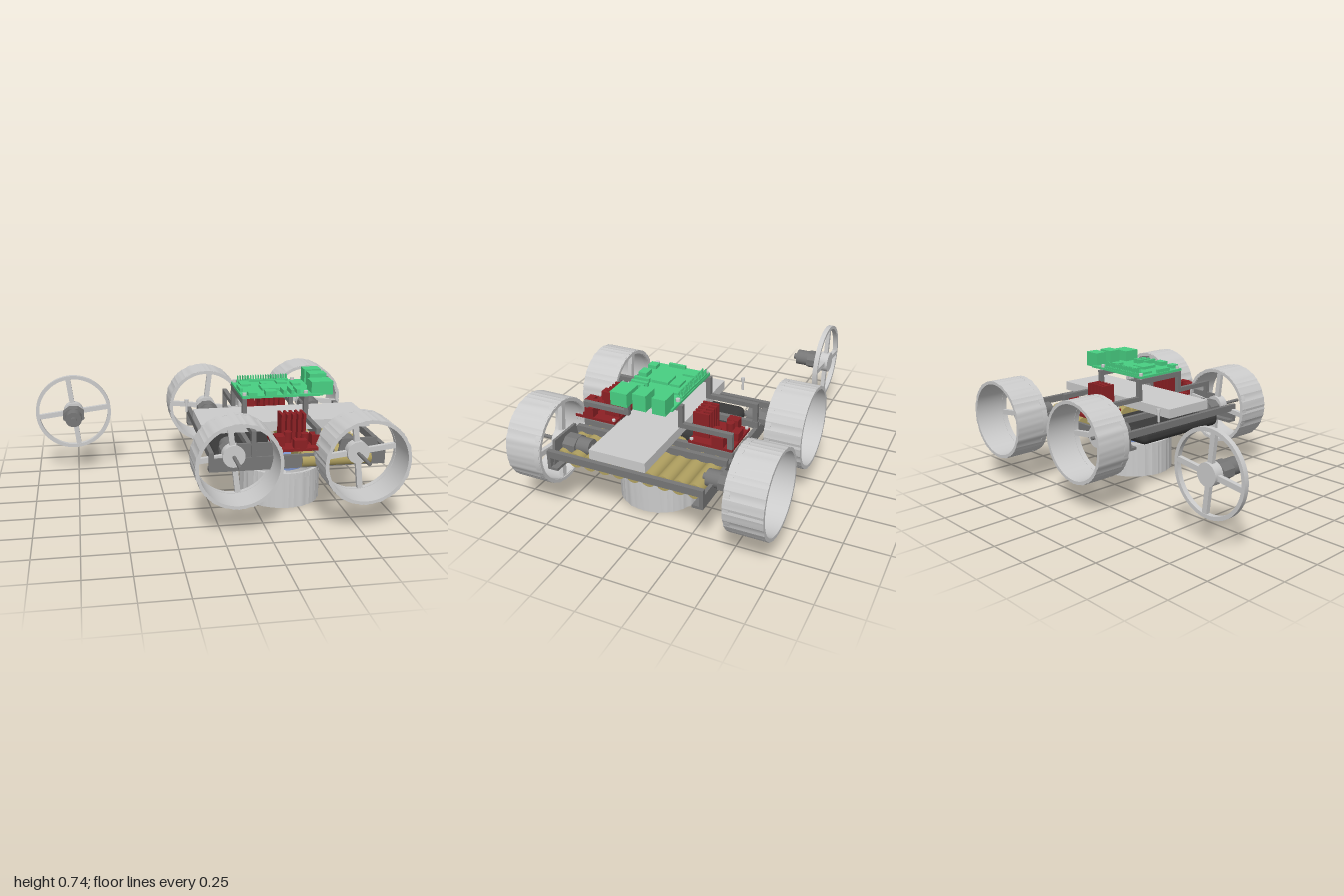
import * as THREE from 'three';
import { toCreasedNormals } from 'three/addons/utils/BufferGeometryUtils.js';
import { RoundedBoxGeometry } from 'three/addons/geometries/RoundedBoxGeometry.js';

const paint = (color) => new THREE.MeshStandardMaterial({ color });
const GREY = paint(0xcccccc), FRAME = paint(0x777777), BLACK = paint(0x3a3a3a);
const GREEN = paint(0x48cf82), RED = paint(0x8c2024), BRASS = paint(0xb0a060), BLUE = paint(0x8098d0);

function add(parent, name, geo, mat, x = 0, y = 0, z = 0) {
  const mesh = new THREE.Mesh(geo, mat);
  mesh.name = name;
  mesh.position.set(x, y, z);
  parent.add(mesh);
  return mesh;
}

// Box given by its limits on each axis
function box(parent, name, mat, [x0, x1], [y0, y1], [z0, z1]) {
  return add(parent, name, new THREE.BoxGeometry(x1 - x0, y1 - y0, z1 - z0), mat,
    (x0 + x1) / 2, (y0 + y1) / 2, (z0 + z1) / 2);
}

function group(parent, name, x = 0, y = 0, z = 0) {
  const g = new THREE.Group();
  g.name = name;
  g.position.set(x, y, z);
  parent.add(g);
  return g;
}

// Cylinder lying along z
function rodZ(parent, name, mat, r, len, x, y, z, sides = 24) {
  const geo = new THREE.CylinderGeometry(r, r, len, sides).rotateX(Math.PI / 2);
  return add(parent, name, geo, mat, x, y, z);
}

// Ring with rectangular section, axis along z
function ring(ro, ri, width, rough = 0) {
  const h = width / 2;
  const pts = [[ro, -h], [ro, h], [ri, h], [ri, -h], [ro, -h]].map(p => new THREE.Vector2(...p));
  const geo = new THREE.LatheGeometry(pts, 96);
  const pos = geo.attributes.position;
  for (let i = 0; i < pos.count; i++) {
    const x = pos.getX(i), z = pos.getZ(i);
    if (Math.hypot(x, z) < (ro + ri) / 2) continue;
    const a = Math.round(Math.atan2(z, x) * 96 / (2 * Math.PI));
    const k = 1 - rough * (0.5 + 0.5 * Math.sin(a * a * 1.7));
    pos.setX(i, x * k);
    pos.setZ(i, z * k);
  }
  geo.rotateX(Math.PI / 2);
  return toCreasedNormals(geo, 0.35);
}

// Spoked disc in the xy plane, centred on its hub
function spokedDisc(parent, mat = GREY) {
  const g = group(parent, 'spokedRim');
  add(g, 'rim', ring(0.235, 0.214, 0.028), mat);
  rodZ(g, 'hub', mat, 0.062, 0.055, 0, 0, 0, 32);
  for (let i = 0; i < 4; i++) {
    const spoke = group(g, 'spoke');
    spoke.rotation.z = i * Math.PI / 2 + 0.12;
    box(spoke, 'spokeBar', mat, [0.03, 0.222], [-0.015, 0.015], [-0.012, 0.012]);
  }
  return g;
}

// Tyre whose spoked disc sits at its -z end
function wheel(parent, name, x, y, z) {
  const g = group(parent, name, x, y, z);
  add(g, 'tyre', ring(0.237, 0.216, 0.21, 0.018), GREY);
  spokedDisc(g).position.z = -0.085;
  return g;
}

// Gear motor with its shaft toward +z
function motor(parent, x, y, z, dir, shaft = 0.1) {
  const g = group(parent, 'motor', x, y, z);
  if (dir < 0) g.rotation.y = Math.PI;
  const body = new THREE.CylinderGeometry(0.065, 0.065, 0.075, 8).rotateY(Math.PI / 8).rotateX(Math.PI / 2);
  add(g, 'gearbox', toCreasedNormals(body, 0.3), FRAME, 0, 0, 0.028).scale.y = 0.78;
  rodZ(g, 'can', FRAME, 0.046, 0.08, 0, 0, -0.045);
  rodZ(g, 'endCap', FRAME, 0.018, 0.025, 0, 0, -0.095);
  rodZ(g, 'shaft', FRAME, 0.01, shaft, 0, 0, 0.065 + shaft / 2, 12);
  return g;
}

// Stepped strap over the power pack, drawn in z-y and extruded along x
function strap(parent, x) {
  const outer = [[0.5, 0.4], [0.5, 0.535], [0.242, 0.535], [0.242, 0.64], [-0.108, 0.64],
    [-0.108, 0.535], [-0.39, 0.535], [-0.39, 0.4]];
  const inner = [[-0.362, 0.4], [-0.362, 0.508], [-0.082, 0.508], [-0.082, 0.608], [0.216, 0.608],
    [0.216, 0.508], [0.472, 0.508], [0.472, 0.4]];
  const shape = new THREE.Shape([...outer, ...inner].map(p => new THREE.Vector2(...p)));
  const geo = new THREE.ExtrudeGeometry(shape, { depth: 0.026, bevelEnabled: false });
  geo.rotateY(-Math.PI / 2).scale(1, 1, 1);
  add(parent, 'strap', geo, FRAME, x + 0.013, 0, 0);
}

// Motor driver board, local origin at the middle of the board
function driverBoard(parent, z, flip) {
  const g = group(parent, 'driverBoard', 0.433, 0.43, z);
  if (flip) g.rotation.y = Math.PI;
  box(g, 'board', RED, [-0.126, 0.126], [0, 0.015], [-0.125, 0.125]);
  box(g, 'heatSinkBase', RED, [-0.07, 0.07], [0.015, 0.155], [-0.09, -0.07]);
  for (let i = 0; i < 5; i++) {
    const x = -0.07 + i * 0.031;
    box(g, 'heatSinkFin', RED, [x, x + 0.014], [0.015, 0.157], [-0.122, -0.03]);
  }
  for (const s of [-1, 1]) {
    box(g, 'sideTerminal', RED, [s * 0.1 - 0.026, s * 0.1 + 0.026], [0.015, 0.07], [0.01, 0.075]);
    add(g, 'capacitor', new THREE.CylinderGeometry(0.022, 0.022, 0.06, 20), RED, s * 0.042, 0.045, 0.025 + s * 0.02);
    for (const t of [-1, 1])
      add(g, 'standoff', new THREE.CylinderGeometry(0.01, 0.01, 0.05, 12), GREY, s * 0.112, 0, t * 0.112);
  }
  box(g, 'frontTerminal', RED, [-0.035, 0.035], [0.015, 0.06], [0.08, 0.122]);
}

function controlBoard(parent) {
  const g = group(parent, 'controlBoard');
  box(g, 'board', GREEN, [0.175, 0.64], [0.643, 0.657], [-0.093, 0.245]);
  // Tall sockets along the +x edge
  box(g, 'networkSocket', GREEN, [0.575, 0.7], [0.645, 0.722], [0.138, 0.235]);
  for (const z of [-0.083, 0.028]) box(g, 'socket', GREEN, [0.6, 0.7], [0.645, 0.735], [z, z + 0.076]);
  // Two rows of header pins
  box(g, 'headerBase', GREEN, [0.205, 0.515], [0.657, 0.669], [-0.09, -0.06]);
  for (let i = 0; i < 20; i++) for (const z of [-0.084, -0.067])
    box(g, 'pin', GREEN, [0.21 + i * 0.0155, 0.215 + i * 0.0155], [0.665, 0.695], [z - 0.003, z + 0.003]);
  // Chips and edge connectors: x, z, width, depth, height
  for (const [x, z, w, d, h] of [[0.24, -0.01, 0.06, 0.08, 0.012], [0.36, 0.1, 0.1, 0.1, 0.016],
    [0.46, -0.02, 0.06, 0.06, 0.012], [0.37, 0.01, 0.08, 0.06, 0.014], [0.535, 0.03, 0.05, 0.06, 0.014],
    [0.235, 0.225, 0.05, 0.05, 0.02], [0.34, 0.225, 0.065, 0.05, 0.025], [0.42, 0.2, 0.018, 0.09, 0.025],
    [0.465, 0.19, 0.018, 0.1, 0.025], [0.5, 0.19, 0.02, 0.09, 0.025], [0.19, 0.1, 0.018, 0.1, 0.02]])
    box(g, 'chip', GREEN, [x - w / 2, x + w / 2], [0.657, 0.657 + h], [z - d / 2, z + d / 2]);
  for (const x of [0.192, 0.545]) for (const z of [-0.078, 0.225])
    add(g, 'screw', new THREE.CylinderGeometry(0.012, 0.012, 0.035, 16), GREY, x, 0.655, z);
}

export function createModel() {
  const model = new THREE.Group();
  model.name = 'roverKit';

  // Chassis: side rails, cross bars and straps
  const chassis = group(model, 'chassis');
  for (const z of [-0.395, 0.48]) {
    box(chassis, 'rail', FRAME, [-0.053, 0.93], [0.315, 0.39], [z, z + 0.02]);
    box(chassis, 'railFlange', FRAME, [-0.053, 0.93], [0.315, 0.33], [z - (z > 0 ? 0.04 : 0), z + (z > 0 ? 0.02 : 0.06)]);
  }
  for (const x of [-0.053, 0.18, 0.535, 0.612, 0.904])
    box(chassis, 'crossBar', FRAME, [x, x + 0.026], [0.385, 0.425], [-0.395, 0.5]);
  strap(chassis, 0.19);
  strap(chassis, 0.545);

  // Motor mounting plates on both rails
  const plate = new THREE.Shape([[-0.13, -0.08], [0.13, -0.08], [0.1, 0.07], [-0.1, 0.07]]
    .map(p => new THREE.Vector2(...p)));
  const plateGeo = new THREE.ExtrudeGeometry(plate, { depth: 0.015, bevelEnabled: false });
  for (const x of [0.2, 0.78]) add(chassis, 'motorPlate', plateGeo, FRAME, x, 0.395, 0.475);

  // Cells, bottom box and power pack
  const cells = group(model, 'batteryCells');
  for (let i = 0; i < 10; i++) {
    const geo = new THREE.CylinderGeometry(0.043, 0.043, 0.39, 28).rotateZ(Math.PI / 2);
    add(cells, 'cell', geo, BRASS, 0.655, 0.349, -0.31 + i * 0.0865);
  }
  add(model, 'lowerBox', new RoundedBoxGeometry(0.4, 0.09, 0.635, 4, 0.04), BLACK, 0.185, 0.345, 0.073);
  box(model, 'powerPack', GREY, [-0.057, 0.93], [0.445, 0.5], [-0.083, 0.237]);

  // Electronics
  driverBoard(model, 0.432, false);
  driverBoard(model, -0.265, true);
  controlBoard(model);

  // Wheels and motors
  for (const [x, front, back] of [[0.083, 0.559, -0.577], [0.762, 0.601, -0.627]]) {
    wheel(model, 'frontWheel', x, 0.398, front);
    wheel(model, 'backWheel', x, 0.398, back).rotation.y = Math.PI;
    motor(model, x, 0.395, front - 0.19, 1, 0.24);
    motor(model, x, 0.395, back + 0.195, -1);
  }

  // Loose spoked wheel with its motor
  const loose = group(model, 'looseWheel', -0.765, 0.396, -0.49);
  spokedDisc(loose);
  motor(loose, 0, 0, 0.1, -1, 0.04).scale.set(1.08, 1, 1);

  // Spare wheel lying flat below, with a blue disc on top
  const spare = wheel(model, 'spareWheel', 0.441, 0.105, 0.085);
  spare.rotation.x = Math.PI / 2;
  add(model, 'blueDisc', new THREE.CylinderGeometry(0.148, 0.148, 0.03, 48), BLUE, 0.44, 0.213, 0.09);

  // Loose screw
  add(model, 'looseScrew', new THREE.CylinderGeometry(0.007, 0.007, 0.075, 12), GREY, -0.08, 0.49, -0.19);
  add(model, 'looseScrewHead', new THREE.CylinderGeometry(0.012, 0.012, 0.02, 12), GREY, -0.08, 0.52, -0.19);

  return model;
}
